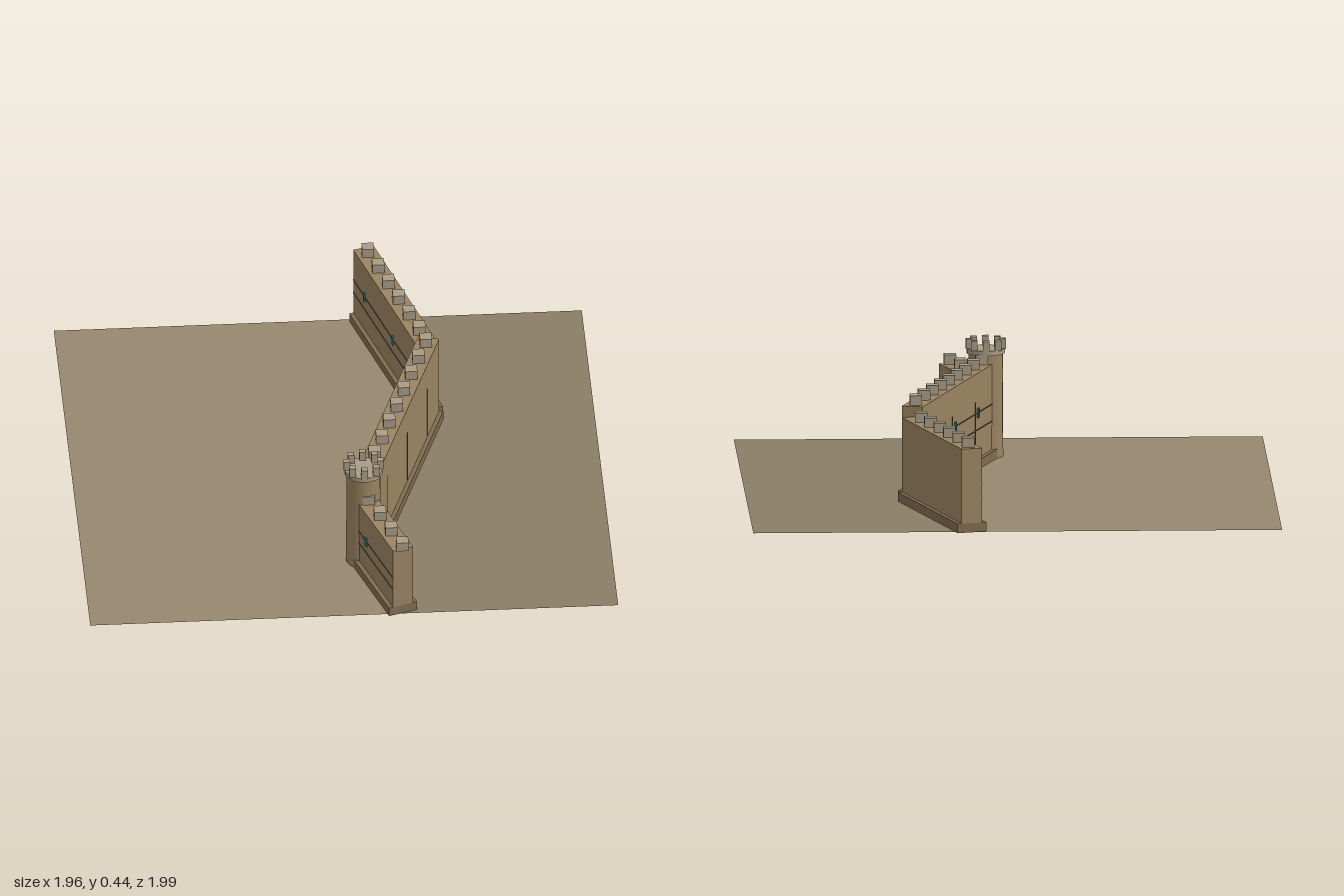
import * as THREE from 'three';

const mat = (color, extra = {}) => new THREE.MeshStandardMaterial({ color, ...extra });

export function createModel() {
  const model = new THREE.Group();
  const stone = mat(0x9a8461), plinthStone = mat(0x806c50), capStone = mat(0xa99c85);
  const seamStone = mat(0x6a5a43), slitColor = mat(0x2f7f78);

  const add = (parent, name, geometry, material, x, y, z) => {
    const mesh = new THREE.Mesh(geometry, material);
    mesh.name = name;
    mesh.position.set(x, y, z);
    parent.add(mesh);
    return mesh;
  };
  const box = (parent, name, material, w, h, d, x, y, z) =>
    add(parent, name, new THREE.BoxGeometry(w, h, d), material, x, y, z);

  // Plan of the wall: corner points (x, z) from back to front
  const path = [[0.17, -0.985], [0.366, -0.315], [0.062, 0.61], [0.182, 0.975]];

  // Ground: one flat sheet on each side of the wall line
  const E = 0.98;
  const ground = (name, side, color) => {
    const line = path.map(([x, z]) => [x, THREE.MathUtils.clamp(z, -E, E)]);
    line[0][1] = -E;
    line[3][1] = E;
    const outline = [[side * E, -E], ...line, [side * E, E]];
    const shape = new THREE.Shape(outline.map(([x, z]) => new THREE.Vector2(x, -z)));
    const mesh = add(model, name, new THREE.ShapeGeometry(shape), mat(color, { side: THREE.DoubleSide }), 0, 0.001, 0);
    mesh.rotation.x = -Math.PI / 2;
  };
  ground('groundOutside', -1, 0x96876f);
  ground('groundInside', 1, 0x8a7e66);

  // Wall section: plinth, body, courses, slits, seams and upright-square merlons
  const W = 0.08;
  const wallSection = (name, from, to, height, slits, seams) => {
    const dx = to[0] - from[0], dz = to[1] - from[1], length = Math.hypot(dx, dz);
    const group = new THREE.Group();
    group.name = name;
    group.position.set(from[0], 0, from[1]);
    group.rotation.y = Math.atan2(dx, dz);
    model.add(group);

    box(group, 'plinth', plinthStone, 0.112, 0.035, length, 0, 0.0175, length / 2);
    box(group, 'wallBody', stone, W, height, length, 0, height / 2, length / 2);
    for (const f of [0.4, 0.58])
      box(group, 'stoneCourse', seamStone, 0.004, 0.004, length, -W / 2, height * f, length / 2);
    for (let i = 0; i < slits; i++)
      box(group, 'arrowSlit', slitColor, 0.012, 0.036, 0.014, -W / 2, height * 0.58, 0.125 + i * 0.305);
    for (let i = 0; i < seams; i++) {
      box(group, 'outerSeam', seamStone, 0.004, 0.21, 0.004, -W / 2, 0.145, 0.09 + i * 0.305);
      box(group, 'innerSeam', seamStone, 0.003, 0.21, 0.003, W / 2, 0.145, 0.18 + i * 0.3);
    }
    for (let t = 0.046; t < length; t += 0.11) {
      const f = t / length;
      box(model, 'merlon', capStone, 0.045, 0.036, 0.045,
        from[0] + dx * f, height + 0.018, from[1] + dz * f);
    }
  };
  wallSection('backWall', path[0], path[1], 0.315, 2, 0);
  wallSection('middleWall', path[1], path[2], 0.355, 3, 3);
  wallSection('frontWall', path[2], path[3], 0.285, 1, 0);

  // Round tower at the front bend
  const tower = new THREE.Group();
  tower.name = 'tower';
  tower.position.set(0.06, 0, 0.61);
  model.add(tower);
  add(tower, 'towerShaft', new THREE.CylinderGeometry(0.063, 0.065, 0.39, 20), stone, 0, 0.195, 0);
  add(tower, 'towerCollar', new THREE.CylinderGeometry(0.071, 0.071, 0.018, 20), capStone, 0, 0.398, 0);
  for (let i = 0; i < 8; i++) {
    const a = i * Math.PI / 4;
    box(tower, 'towerMerlon', capStone, 0.024, 0.038, 0.024, Math.cos(a) * 0.062, 0.424, Math.sin(a) * 0.062);
  }
  return model;
}
